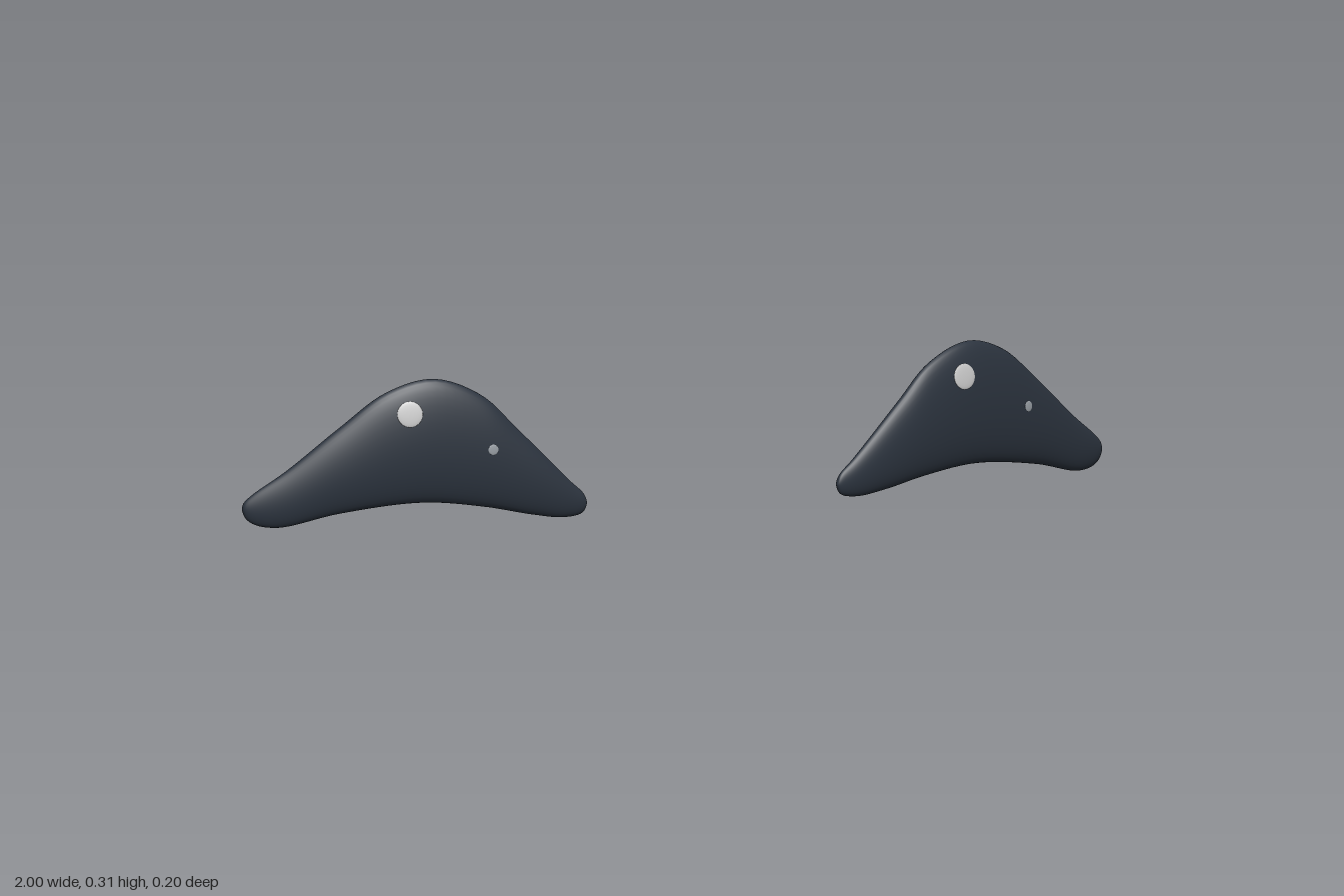
import * as THREE from 'three';

const darkMat = new THREE.MeshStandardMaterial({ color: 0x2c343f });
const whiteMat = new THREE.MeshStandardMaterial({ color: 0xffffff });
const greyMat = new THREE.MeshStandardMaterial({ color: 0x9aa0a6 });

const curve = (pts) => new THREE.CatmullRomCurve3(pts.map(([x, y]) => new THREE.Vector3(x, y, 0)));

// Upper and lower edge of one eye, from inner tip to outer tip
const upper = curve([[0.29, 0.035], [0.298, 0.055], [0.33, 0.085], [0.445, 0.2], [0.52, 0.272], [0.62, 0.31],
  [0.715, 0.285], [0.81, 0.212], [0.915, 0.122], [0.98, 0.073], [0.997, 0.055], [1, 0.04]]);
const lower = curve([[0.29, 0.035], [0.3, 0.015], [0.34, 0.007], [0.41, 0.016], [0.515, 0.037], [0.645, 0.05],
  [0.81, 0.031], [0.93, 0.003], [0.975, 0.009], [0.993, 0.022], [1, 0.04]]);

// Sweep of the eye backwards around the face
const sweep = (x) => 0.085 - 0.0785 * (x - 0.3) - 0.265 * (x - 0.3) ** 2;

// Elliptical sections spanning the two edges; side mirrors the shape
function eyeGeometry(side, rows = 72, cols = 40) {
  const pos = [], index = [];
  for (let i = 0; i <= rows; i++) {
    const t = (1 - Math.cos((Math.PI * i) / rows)) / 2;
    const top = upper.getPointAt(t), bottom = lower.getPointAt(t);
    const thick = 0.03 * Math.sqrt(Math.max(0, Math.sin(Math.PI * t)));
    for (let j = 0; j < cols; j++) {
      const a = (2 * Math.PI * j) / cols;
      const p = bottom.clone().lerp(top, (1 + Math.sin(a)) / 2);
      pos.push(side * p.x, p.y, sweep(p.x) + thick * Math.cos(a));
      if (i === rows) continue;
      const k = (j + 1) % cols, r = i * cols, n = r + cols;
      const quad = [r + j, n + j, n + k, r + j, n + k, r + k];
      index.push(...(side > 0 ? quad : quad.reverse()));
    }
  }
  const geo = new THREE.BufferGeometry();
  geo.setAttribute('position', new THREE.Float32BufferAttribute(pos, 3));
  geo.setIndex(index);
  geo.computeVertexNormals();
  return geo;
}

// Thin round glint laid on the front surface at x, y
function glint(eye, name, x, y, radius, material) {
  const ray = new THREE.Raycaster(new THREE.Vector3(x, y, 1), new THREE.Vector3(0, 0, -1));
  const hit = ray.intersectObject(eye)[0];
  const mesh = new THREE.Mesh(new THREE.SphereGeometry(radius, 28, 14), material);
  mesh.name = name;
  mesh.scale.z = 0.12;
  mesh.position.copy(hit.point);
  mesh.quaternion.setFromUnitVectors(new THREE.Vector3(0, 0, 1), hit.face.normal);
  return mesh;
}

export function createModel() {
  const model = new THREE.Group();
  model.name = 'eyes';
  for (const side of [1, -1]) {
    const group = new THREE.Group();
    group.name = side > 0 ? 'leftEye' : 'rightEye';
    const eye = new THREE.Mesh(eyeGeometry(side), darkMat);
    eye.name = 'eyeBody';
    // Glints keep the same offset in both eyes, as if lit from one side
    const cx = side * 0.64 - 0.04;
    group.add(eye,
      glint(eye, 'largeGlint', cx, 0.24, 0.027, whiteMat),
      glint(eye, 'smallGlint', cx + 0.173, 0.16, 0.011, greyMat));
    model.add(group);
  }
  return model;
}
